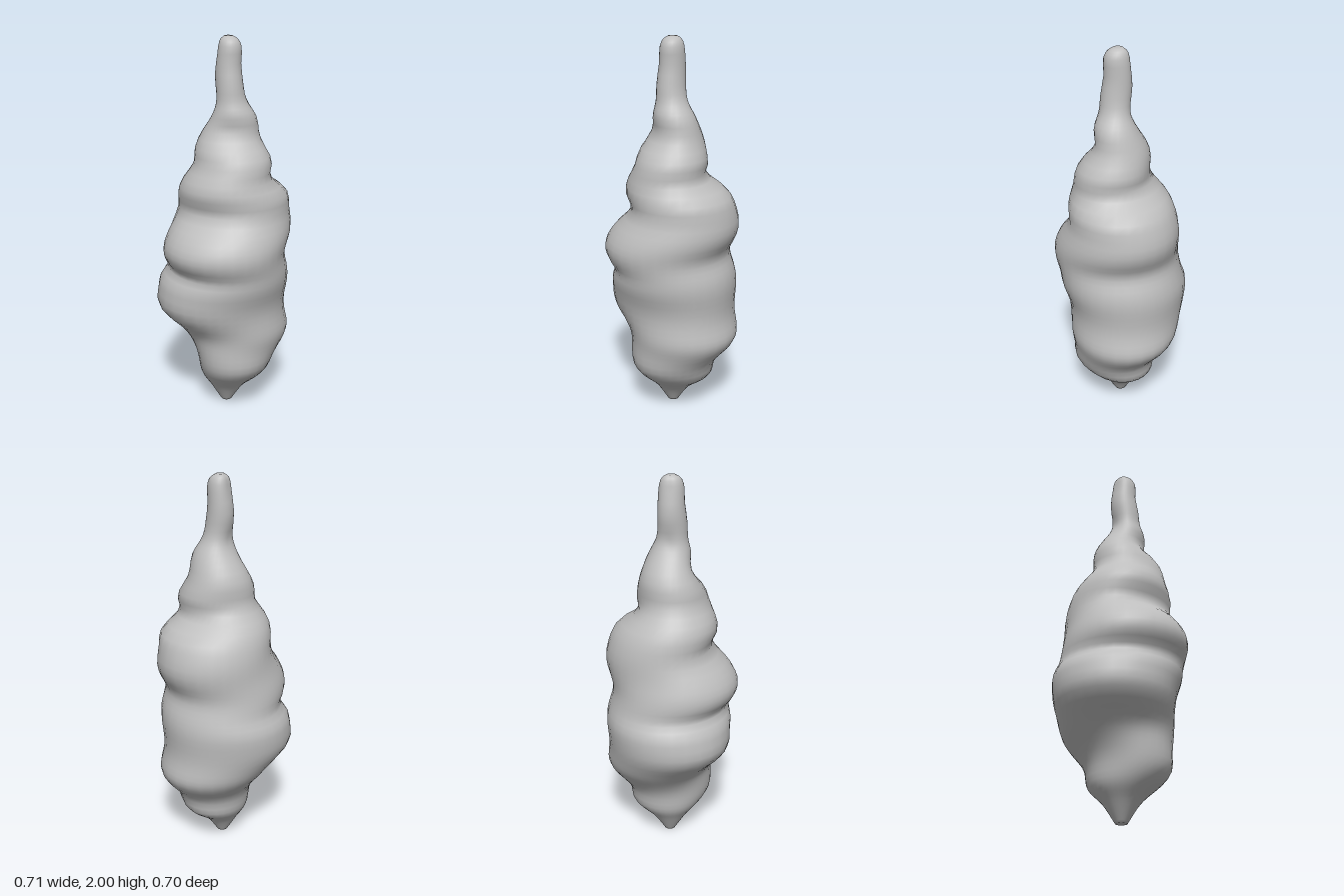
import * as THREE from 'three';

// Mean outline of the spindle: [radius, height]
const outline = [
  [.03, 0], [.094, .1], [.172, .2], [.261, .37], [.313, .5], [.335, .7], [.322, .85],
  [.317, 1], [.262, 1.2], [.188, 1.4], [.112, 1.6], [.072, 1.72], [.056, 1.95], [.02, 2],
].map(p => new THREE.Vector2(...p));

// Lumps and hollows winding up the body:
// direction (eighths of a turn from +x to +z), height, swell, spread in height
const lumps = [
  [7.6, .19, .05, .05], [7.7, .4, .07, .08], [4.5, .33, -.065, .1], [2, .25, .045, .06], [6.2, .3, -.03, .08],
  [3.4, .45, -.045, .06], [4.5, .6, .045, .06], [2, .6, -.055, .1], [5.2, .72, .025, .06],
  [4, .8, -.035, .03], [3.6, .92, .03, .06], [2.3, .9, .02, .07], [0, .9, -.03, .05], [5.5, 1, -.03, .08],
  [7.7, 1.08, .05, .08], [3.3, 1.12, -.07, .05], [.4, 1.2, .045, .05], [7.7, 1.3, -.05, .035],
  [4, 1.36, -.025, .04], [1.3, 1.38, .045, .07], [6.2, 1.36, -.045, .06], [2.3, 1.52, -.045, .05],
  [1, 1.58, .045, .07], [4.8, 1.64, -.035, .08], [6.2, 1.66, -.025, .07],
  [2, 1.76, .03, .08], [5.2, 1.94, -.022, .07], [1.7, 1.95, .025, .05],
];

function lumpOffset(eighths, y) {
  let sum = 0;
  for (const [dir, height, swell, spread] of lumps) {
    const turn = Math.abs(eighths - dir);
    const across = Math.min(turn, 8 - turn);
    sum += swell * Math.exp(-0.5 * (across ** 2 + ((y - height) / spread) ** 2));
  }
  return sum;
}

// Rings of points around the axis, closed by a pole at each end
function bodyGeometry(rings, sides) {
  const profile = new THREE.SplineCurve(outline).getPoints(rings);
  profile.unshift(new THREE.Vector2(0, 0));
  profile.push(new THREE.Vector2(0, 2));
  const positions = [], index = [];
  for (const { x: radius, y } of profile) {
    for (let j = 0; j < sides; j++) {
      const angle = (j / sides) * Math.PI * 2;
      const r = radius && Math.max(radius + lumpOffset((j / sides) * 8, y), 0.01);
      positions.push(r * Math.cos(angle), y, r * Math.sin(angle));
    }
  }
  for (let i = 0; i < profile.length - 1; i++) {
    for (let j = 0; j < sides; j++) {
      const a = i * sides + j, b = i * sides + (j + 1) % sides;
      index.push(a, a + sides, b, b, a + sides, b + sides);
    }
  }
  const geometry = new THREE.BufferGeometry();
  geometry.setAttribute('position', new THREE.Float32BufferAttribute(positions, 3));
  geometry.setIndex(index);
  geometry.computeVertexNormals();
  return geometry;
}

export function createModel() {
  const group = new THREE.Group();
  group.name = 'knobblySpindle';
  const grey = new THREE.MeshStandardMaterial({ color: 0xbfbfbf });
  grey.name = 'lightGrey';
  const body = new THREE.Mesh(bodyGeometry(65, 32), grey);
  body.name = 'body';
  group.add(body);
  return group;
}
